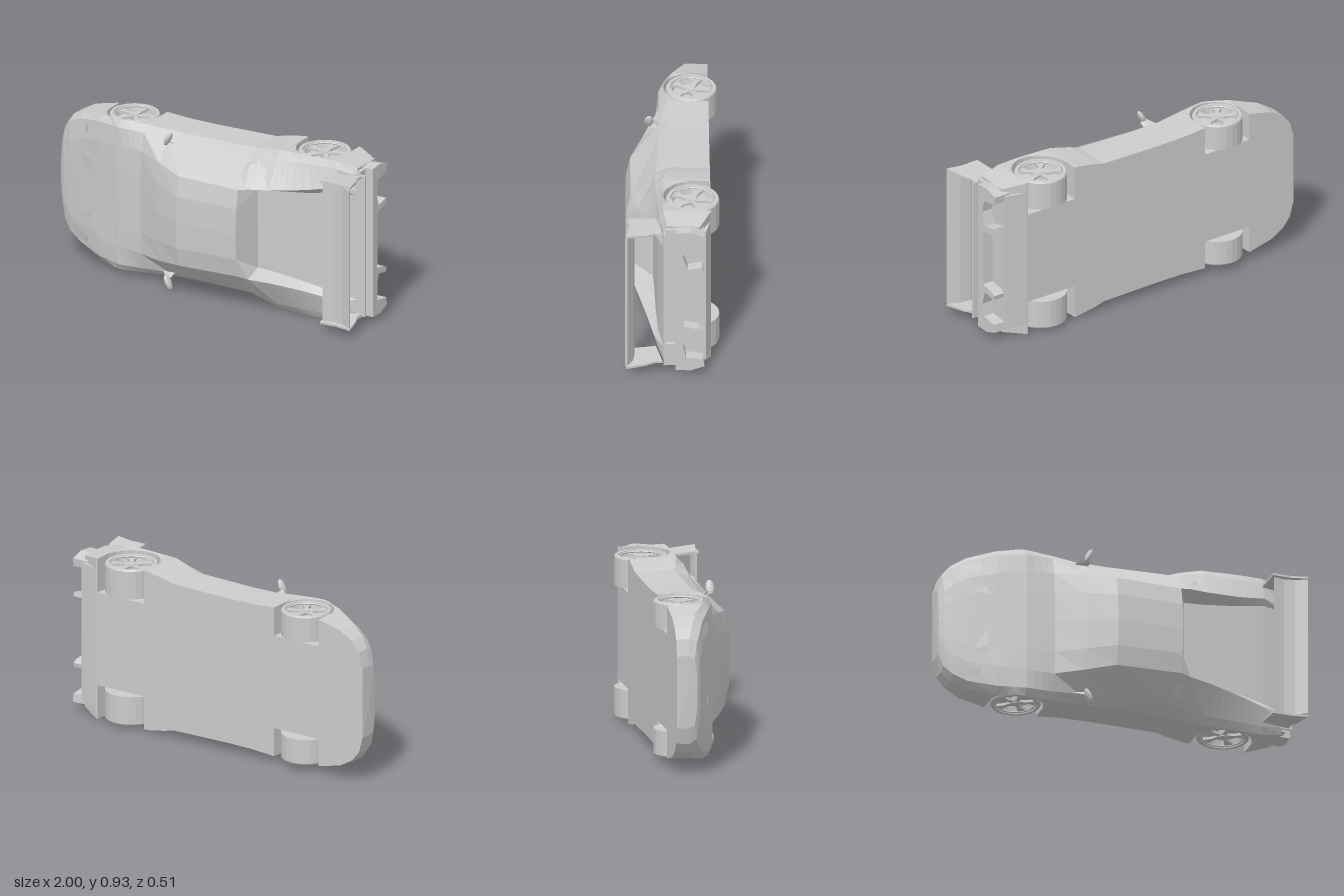
import * as THREE from 'three';
import { ConvexGeometry } from 'three/addons/geometries/ConvexGeometry.js';

// The car rests on its side: x runs nose (-) to tail (+), y is lateral, z points to the roof.
const mat = new THREE.MeshStandardMaterial({ color: 0xcccccc, flatShading: true, side: THREE.DoubleSide });
const FLOOR = -0.213;
const WHEELS = [
  { name: 'front', x: -0.553, z: -0.122, r: 0.138, arch: 0.15, inner: 0.28, outer: 0.425 },
  { name: 'rear', x: 0.633, z: -0.115, r: 0.145, arch: 0.158, inner: 0.28, outer: 0.445 },
];

function add(parent, name, geo) {
  const m = new THREE.Mesh(geo, mat);
  m.name = name;
  parent.add(m);
  return m;
}

// x, waist half width, waist z, shoulder z, roof edge or buttress crest y and z, centre z
const STATIONS = [
  [-1.0, 0.2, -0.15, -0.115, 0.12, -0.105, -0.1],
  [-0.975, 0.29, -0.14, -0.1, 0.17, -0.085, -0.08],
  [-0.93, 0.345, -0.12, -0.075, 0.21, -0.062, -0.06],
  [-0.85, 0.392, -0.09, -0.047, 0.25, -0.034, -0.03],
  [-0.7, 0.427, -0.02, 0.012, 0.28, 0.022, 0.02],
  [-0.55, 0.435, 0.035, 0.058, 0.29, 0.064, 0.068],
  [-0.4, 0.432, 0.015, 0.05, 0.3, 0.08, 0.088],
  [-0.25, 0.422, 0, 0.05, 0.285, 0.15, 0.17],
  [-0.09, 0.42, 0, 0.06, 0.26, 0.215, 0.243],
  [0.28, 0.425, 0.005, 0.08, 0.252, 0.215, 0.243],
  [0.335, 0.44, 0.02, 0.085, 0.262, 0.205, 0.095],
  [0.45, 0.46, 0.045, 0.085, 0.27, 0.178, 0.09],
  [0.65, 0.465, 0.05, 0.075, 0.295, 0.13, 0.083],
  [0.8, 0.465, 0.045, 0.065, 0.325, 0.095, 0.072],
  [0.92, 0.44, 0.03, 0.045, 0.32, 0.046, 0.046],
];

function stationAt(x) {
  let i = 0;
  while (i < STATIONS.length - 2 && x > STATIONS[i + 1][0]) i++;
  const a = STATIONS[i], b = STATIONS[i + 1], t = (x - a[0]) / (b[0] - a[0]);
  return a.map((v, k) => v + (b[k] - v) * t);
}

// Closed cross-section, with a notch for the wheel wells and a sunken deck behind the roof
function section(x, wheel) {
  const [, w, zs, z2, w3, z3, zt] = stationAt(x);
  const zb = FLOOR + Math.max(0, x - 0.8) * 0.5;
  const low = w * 0.985, floorY = wheel ? 0.265 : low;
  const archZ = wheel ? wheel.z + Math.sqrt(Math.max(0, wheel.arch ** 2 - (x - wheel.x) ** 2)) : zb;
  const inner = x > 0.3 ? [w3 - 0.033, zt] : [w3 * 0.58, zt - (zt - z3) * 0.2];
  const half = [[floorY, zb], [floorY, archZ], [low, archZ],
    [w, Math.max(zs, archZ + 0.005)], [w * 0.915, z2], [w3, z3], inner];
  const loop = [[0, zb], ...half, [0, zt], ...half.slice().reverse().map(([y, z]) => [-y, z])];
  return loop.map(([y, z]) => [x, y, z]);
}

function bodyGeometry() {
  const cuts = STATIONS.map(s => ({ x: s[0] }))
    .filter(c => !WHEELS.some(w => Math.abs(c.x - w.x) <= w.arch));
  for (const w of WHEELS) {
    cuts.push({ x: w.x - w.arch }, { x: w.x + w.arch });
    for (let k = 0; k <= 10; k++) {
      cuts.push({ x: w.x - w.arch * 0.9999 * Math.cos((k / 10) * Math.PI), wheel: w });
    }
  }
  cuts.sort((a, b) => a.x - b.x);
  const rings = cuts.map(c => section(c.x, c.wheel));
  const n = rings[0].length, pos = rings.flat(2), idx = [];
  for (let i = 0; i < rings.length - 1; i++) {
    for (let j = 0; j < n; j++) {
      const k = (j + 1) % n, a = i * n + j, b = i * n + k;
      idx.push(a, b, b + n, a, b + n, a + n);
    }
  }
  // nose and tail caps
  const last = (rings.length - 1) * n, c0 = pos.length / 3;
  pos.push(-1.005, 0, -0.155, 0.92, 0, -0.03);
  for (let j = 0; j < n; j++) {
    const k = (j + 1) % n;
    idx.push(c0, k, j, c0 + 1, last + j, last + k);
  }
  const g = new THREE.BufferGeometry();
  g.setAttribute('position', new THREE.Float32BufferAttribute(pos, 3));
  g.setIndex(idx);
  g.computeVertexNormals();
  return g;
}

// Outline extruded along x (outline in y, z) or along y (outline in x, z)
function slab(points, depth, axis) {
  const g = new THREE.ExtrudeGeometry(new THREE.Shape(points.map(p => new THREE.Vector2(...p))), { depth, bevelEnabled: false });
  const X = new THREE.Vector3(1, 0, 0), Y = new THREE.Vector3(0, 1, 0), Z = new THREE.Vector3(0, 0, 1);
  const m = new THREE.Matrix4();
  if (axis === 'x') m.makeBasis(Y, Z, X);
  else { g.translate(0, 0, -depth / 2); m.makeBasis(X, Z, Y.negate()); }
  return g.applyMatrix4(m);
}

function box(sx, sy, sz, x, y, z) {
  return new THREE.BoxGeometry(sx, sy, sz).translate(x, y, z);
}

// Faceted wedge around a few points, mirrored by the sign s
function wedge(s, points) {
  return new ConvexGeometry(points.map(([x, y, z]) => new THREE.Vector3(x, s * y, z)));
}

function makeWheel({ name, r, inner, outer }) {
  const g = new THREE.Group(), h = (outer - inner) / 2;
  g.name = name + 'Wheel';
  const profile = [[0, -h], [r, -h], [r, h - 0.008], [r * 0.96, h], [r * 0.84, h], [r * 0.77, h - 0.045], [0, h - 0.045]];
  add(g, 'tire', new THREE.LatheGeometry(profile.map(p => new THREE.Vector2(...p)), 24));
  add(g, 'rimRing', new THREE.TorusGeometry(r * 0.79, r * 0.035, 4, 24).rotateX(Math.PI / 2).translate(0, h - 0.008, 0));
  add(g, 'hub', new THREE.CylinderGeometry(r * 0.15, r * 0.18, 0.035, 10).translate(0, h - 0.025, 0));
  // flared spokes
  const edge = [[0.08, 0.11], [0.45, 0.075], [0.8, 0.18]].map(([a, b]) => [a * r, b * r]);
  const outline = [...edge.map(([a, b]) => [a, -b]), ...edge.reverse()];
  for (let k = 0; k < 5; k++) {
    add(g, 'spoke', slab(outline, 0.014, 'y').translate(0, h - 0.02, 0).rotateY(Math.PI / 2 + (k * Math.PI * 2) / 5));
  }
  return g;
}

export function createModel() {
  const model = new THREE.Group();
  model.name = 'sportsCar';
  const car = new THREE.Group();
  car.name = 'car';
  car.position.y = 0.465;
  model.add(car);
  add(car, 'body', bodyGeometry());

  // rear bumper with diffuser openings between its legs
  const side = [[0.16, -0.065], [0.175, -0.145], [0.19, -0.17], [0.215, -0.165], [0.2, -0.085], [0.28, -0.06],
    [0.35, -0.075], [0.365, -0.17], [0.41, -0.175], [0.435, -0.1], [0.43, -0.02]];
  const mirrored = side.slice().reverse().map(([y, z]) => [-y, z]);
  add(car, 'rearBumper', slab([...side, ...mirrored], 0.105, 'x').translate(0.88, 0, 0));
  add(car, 'diffuser', wedge(1, [-0.4, 0.4].flatMap(y => [[0.8, y, -0.212], [0.92, y, -0.185], [0.8, y, -0.15], [0.92, y, -0.15]])));
  add(car, 'tailLip', box(0.07, 0.82, 0.012, 0.94, 0, 0.04));

  // rear wing
  const blade = [[0.812, 0.225], [0.87, 0.213], [0.93, 0.222], [0.993, 0.254]];
  const underside = blade.slice().reverse().map(([x, z]) => [x, z - 0.012]);
  add(car, 'wingBlade', slab([...blade, ...underside], 0.8, 'y'));

  for (const s of [1, -1]) {
    const plate = add(car, 'wingEndPlate', slab([[0.79, 0.085], [0.955, 0.05], [0.95, 0.09], [0.972, 0.14],
      [0.995, 0.25], [0.9, 0.232], [0.8, 0.235]], 0.012, 'y'));
    plate.position.y = s * 0.397;
    plate.rotation.x = -s * 0.06;

    // tail lights
    add(car, 'tailLight', box(0.03, 0.13, 0.055, 0.925, s * 0.36, 0.01));

    // door mirrors
    const mirror = add(car, 'mirror', new THREE.SphereGeometry(1, 10, 6).scale(0.016, 0.044, 0.025));
    mirror.position.set(-0.215, s * 0.417, 0.11);
    mirror.rotation.z = -s * 0.45;
    add(car, 'mirrorArm', wedge(s, [[-0.28, 0.38, 0.05], [-0.2, 0.37, 0.05], [-0.23, 0.41, 0.1], [-0.2, 0.39, 0.1]]));

    // side scoops behind the doors and fins on the rear fenders
    add(car, 'sideScoop', wedge(s, [[0.23, 0.29, 0.16], [0.31, 0.27, 0.2], [0.3, 0.375, 0.115],
      [0.42, 0.38, 0.1], [0.4, 0.29, 0.16], [0.27, 0.37, 0.09]]));
    add(car, 'fenderFin', wedge(s, [[0.53, 0.3, 0.14], [0.64, 0.31, 0.125], [0.62, 0.375, 0.1], [0.52, 0.375, 0.1]]));

    // headlights and bonnet nostrils
    add(car, 'headlight', wedge(s, [[-0.92, 0.26, -0.066], [-0.92, 0.32, -0.075], [-0.79, 0.345, -0.01],
      [-0.79, 0.29, 0], [-0.79, 0.32, -0.03]]));
    add(car, 'bonnetNostril', wedge(s, [[-0.84, 0.18, -0.03], [-0.76, 0.06, 0.004], [-0.75, 0.15, 0.012],
      [-0.76, 0.2, 0.004], [-0.78, 0.12, -0.02]]));

    // wheels
    for (const spec of WHEELS) {
      const wheel = makeWheel(spec);
      wheel.position.set(spec.x, (s * (spec.inner + spec.outer)) / 2, spec.z);
      if (s < 0) wheel.rotation.x = Math.PI;
      car.add(wheel);
    }
  }
  return model;
}
